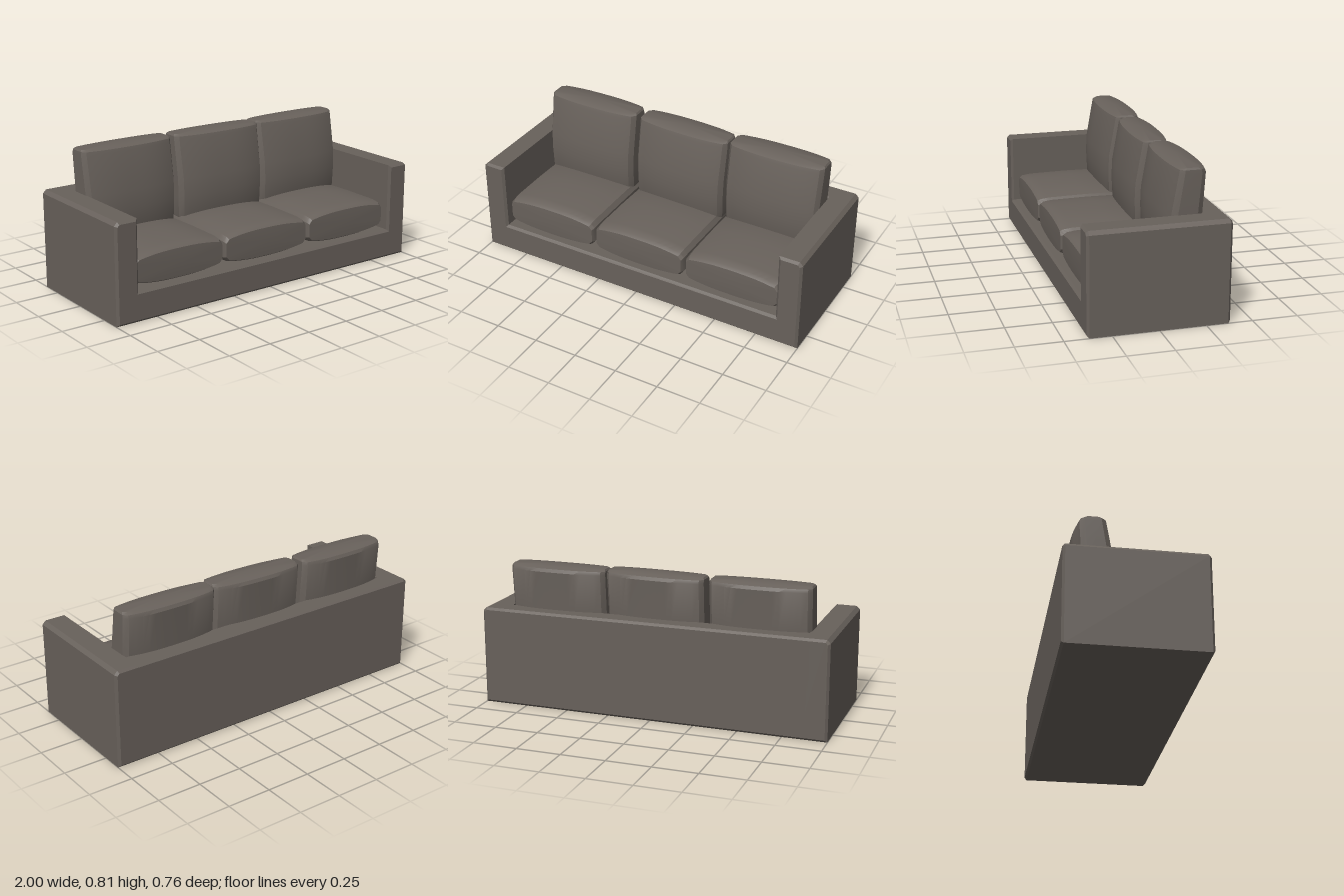
import * as THREE from 'three';
import { toCreasedNormals } from 'three/addons/utils/BufferGeometryUtils.js';

const fabric = new THREE.MeshStandardMaterial({ color: 0x68615b });
const BEVEL = 0.013;

function part(name, geometry) {
  const mesh = new THREE.Mesh(geometry, fabric);
  mesh.name = name;
  return mesh;
}

const polygon = (points) => new THREE.Shape(points.map(([x, y]) => new THREE.Vector2(x, y)));

// Lens-shaped outline (x: -1..1, t: -1..1), blunt at both ends, running counter to the y axis winding
function lensOutline() {
  const side = [];
  const steps = 14;
  for (let i = 0; i <= steps; i++) {
    const x = -0.93 + (1.86 * i) / steps;
    side.push([x, 1 - 0.3 * Math.pow(Math.abs(x), 2.6)]);
  }
  const front = [[-1, 0.48], ...side, [1, 0.48]];
  return [...front, ...front.map(([x, t]) => [-x, -t])];
}

// Pillow lofted along y; each section is [y, back z, front z, half width]
function cushionGeometry(sections, crown) {
  const outline = lensOutline();
  const n = outline.length;
  const positions = [];
  const index = [];
  for (const [y, back, front, half] of sections) {
    const mid = (back + front) / 2;
    const depth = (front - back) / 2;
    for (const [x, t] of outline) positions.push(x * half, y, mid + t * depth);
  }
  for (let s = 0; s < sections.length - 1; s++) {
    for (let i = 0; i < n; i++) {
      const a = s * n + i;
      const b = s * n + ((i + 1) % n);
      index.push(a, b, b + n, a, b + n, a + n);
    }
  }
  // End caps with a slight crown
  const last = sections.length - 1;
  [0, last].forEach((s) => {
    const [y, back, front] = sections[s];
    const centre = positions.length / 3;
    positions.push(0, y + (s ? crown : -crown), (back + front) / 2);
    for (let i = 0; i < n; i++) {
      const a = s * n + i;
      const b = s * n + ((i + 1) % n);
      if (s) index.push(a, b, centre);
      else index.push(b, a, centre);
    }
  });
  const geometry = new THREE.BufferGeometry();
  geometry.setAttribute('position', new THREE.Float32BufferAttribute(positions, 3));
  geometry.setIndex(index);
  return toCreasedNormals(geometry, 0.5);
}

// Arms and base in one U-shaped block with chamfered edges
function frameGeometry() {
  const b = BEVEL;
  const half = 1 - b;
  const top = 0.56 - b;
  const c = 0.012;
  const inner = 0.865 + b;
  const floor = 0.168 - b;
  const shape = polygon([
    [-half, b], [half, b], [half, top - c], [half - c, top], [inner, top],
    [inner, floor], [-inner, floor], [-inner, top], [-half + c, top], [-half, top - c],
  ]);
  const depth = 0.762 - 2 * b;
  const geometry = new THREE.ExtrudeGeometry(shape, {
    depth, bevelThickness: b, bevelSize: b, bevelSegments: 1,
  });
  return geometry.translate(0, 0, -depth / 2);
}

// Backrest panel filling the rear of the U, profile drawn in (-z, y)
function backGeometry() {
  const b = BEVEL;
  const shape = polygon([
    [0.255, 0.1], [0.381, 0.1], [0.381, 0.56 - b], [0.381 - b, 0.56],
    [0.255 + b, 0.56], [0.255, 0.56 - b],
  ]);
  const width = 1.78;
  const geometry = new THREE.ExtrudeGeometry(shape, { depth: width, bevelEnabled: false });
  return geometry.translate(0, 0, -width / 2).rotateY(Math.PI / 2);
}

export function createModel() {
  const sofa = new THREE.Group();
  sofa.name = 'sofa';
  sofa.add(part('frame', frameGeometry()), part('backrest', backGeometry()));

  // Seat sections: [z, -top, -bottom, half width]
  const seat = cushionGeometry([
    [-0.27, -0.345, -0.185, 0.27],
    [-0.24, -0.36, -0.168, 0.282],
    [0.05, -0.364, -0.166, 0.284],
    [0.27, -0.36, -0.166, 0.284],
    [0.318, -0.352, -0.168, 0.282],
    [0.336, -0.338, -0.178, 0.274],
  ], 0.006).rotateX(Math.PI / 2);

  // Back cushion sections: [y, back z, front z, half width]
  const back = cushionGeometry([
    [0.3, -0.28, -0.09, 0.27],
    [0.34, -0.288, -0.077, 0.28],
    [0.46, -0.292, -0.07, 0.282],
    [0.56, -0.295, -0.074, 0.283],
    [0.775, -0.305, -0.116, 0.284],
    [0.793, -0.296, -0.122, 0.283],
    [0.803, -0.27, -0.145, 0.276],
  ], 0.008);

  const layout = [
    { side: 'right', seatX: -0.581, backX: -0.587, turn: 0, shift: 0 },
    { side: 'middle', seatX: 0, backX: 0.01, turn: -0.03, shift: 0.008 },
    { side: 'left', seatX: 0.576, backX: 0.584, turn: 0, shift: 0 },
  ];
  for (const { side, seatX, backX, turn, shift } of layout) {
    const seatCushion = part(`${side}SeatCushion`, seat);
    seatCushion.position.x = seatX;
    seatCushion.rotation.y = turn / 3;

    const backCushion = part(`${side}BackCushion`, back);
    // Turn about the cushion's own middle
    const pivot = new THREE.Vector3(0, 0, -0.19);
    backCushion.rotation.y = turn;
    backCushion.position.copy(pivot).sub(pivot.clone().applyEuler(backCushion.rotation));
    backCushion.position.x += backX;
    backCushion.position.z += shift;
    sofa.add(seatCushion, backCushion);
  }
  return sofa;
}
